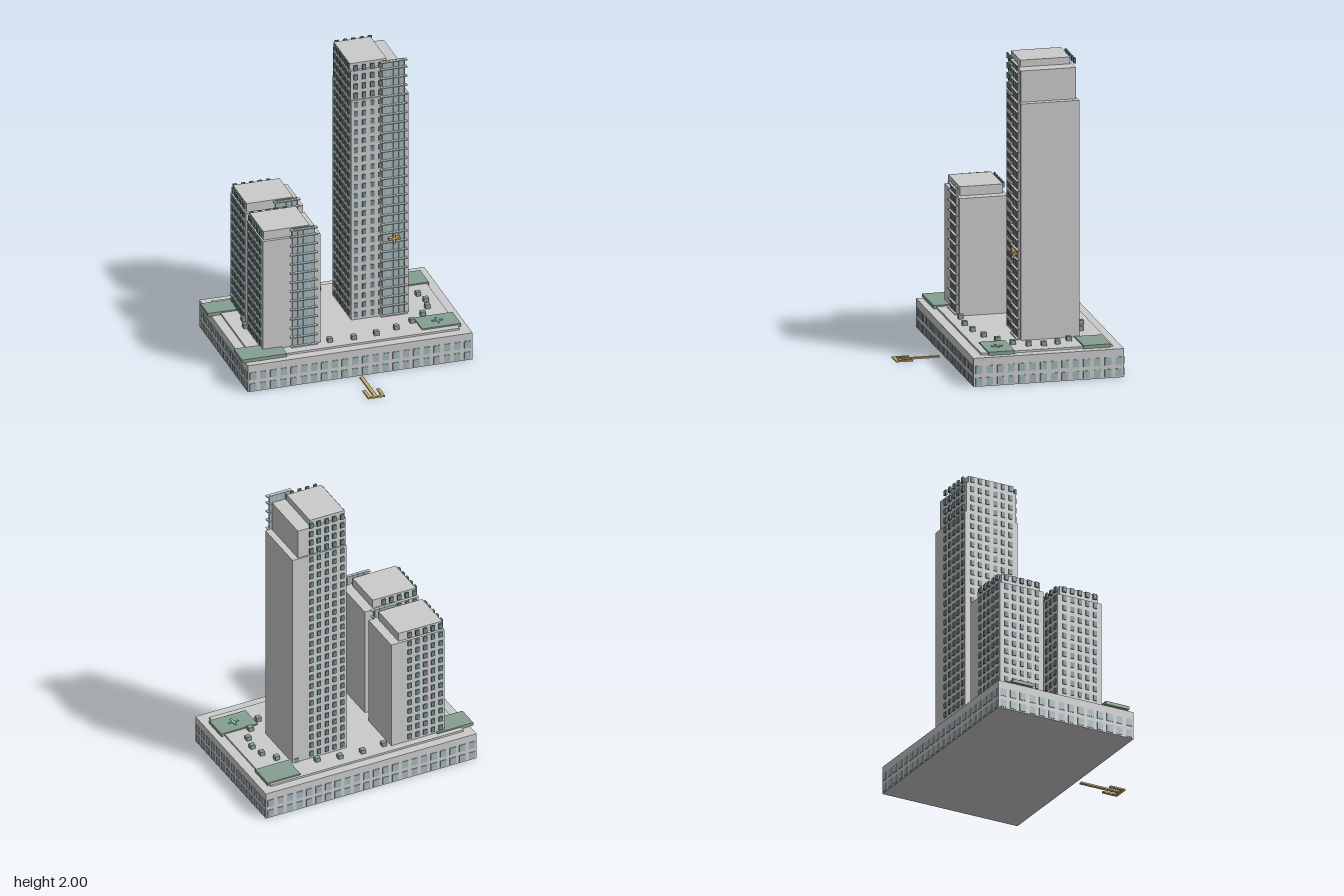
import * as THREE from 'three';
import { mergeGeometries } from 'three/addons/utils/BufferGeometryUtils.js';

const mat = (color) => new THREE.MeshStandardMaterial({ color });
const GREY = mat(0xcccccc);
const DARK_GLASS = mat(0x6a8a8c);
const PALE_GLASS = mat(0xa0b6ba);
const GREEN = mat(0x86a090);
const TEAL = mat(0x8cc8c0);
const GOLD = mat(0xc4a768);

// Box geometry given by its limits on each axis
function span(x0, x1, y0, y1, z0, z1) {
  return new THREE.BoxGeometry(x1 - x0, y1 - y0, z1 - z0)
    .translate((x0 + x1) / 2, (y0 + y1) / 2, (z0 + z1) / 2);
}
function block(cx, cy, cz, w, h, d) {
  return new THREE.BoxGeometry(w, h, d).translate(cx, cy, cz);
}
function add(parent, name, material, ...geos) {
  const mesh = new THREE.Mesh(geos.length > 1 ? mergeGeometries(geos) : geos[0], material);
  mesh.name = name;
  parent.add(mesh);
  return mesh;
}

const FLOOR = 0.0645; // storey height
const DECK = 0.2;     // level of the podium roof
const PITCH = 0.055;  // spacing of tower windows

// t: main block x0,x1,z0,z1; tiers; storeys; bay x range; front window columns
function tower(name, t) {
  const g = new THREE.Group();
  g.name = name;
  t.tiers.forEach(([x0, x1, z0, z1, y0, y1], i) =>
    add(g, i ? 'setbackTier' + i : 'mainShaft', GREY, span(x0, x1, y0, y1, z0, z1)));

  const [x0, , z0, z1] = t.tiers[0];
  const panes = [], glass = [], slabs = [], mullions = [];
  const [b0, b1] = t.bay;
  const bayPanes = 4, pw = (b1 - b0) / bayPanes;
  const top = t.tiers[t.tiers.length - 1][5];
  const sideColumns = Math.floor((z1 - z0 - 0.02) / PITCH);
  const sideStart = (z0 + z1) / 2 - ((sideColumns - 1) * PITCH) / 2;

  for (let f = 0; f < t.storeys; f++) {
    const y = DECK + 0.035 + f * FLOOR;
    // windows on the front, back and -x walls
    for (let c = 0; c < t.frontColumns; c++)
      panes.push(block(x0 + 0.03 + c * PITCH, y, z1 - 0.001, 0.024, 0.036, 0.012));
    for (let c = 0; c < 5; c++)
      panes.push(block(x0 + 0.03 + c * PITCH, y, z0 - 0.001, 0.026, 0.036, 0.012));
    for (let c = 0; c < sideColumns; c++)
      panes.push(block(x0, y, sideStart + c * PITCH, 0.012, 0.036, 0.026));
    // glazed bay, one balcony slab per storey
    for (let c = 0; c < bayPanes; c++)
      glass.push(block(b0 + (c + 0.5) * pw, y, z1 + 0.004, pw - 0.006, 0.05, 0.012));
    slabs.push(block((b0 + b1) / 2, y - 0.03, z1 + 0.012, b1 - b0 + 0.03, 0.007, 0.026));
  }
  slabs.push(span(b0 - 0.015, b1 + 0.015, top - 0.007, top, z1 - 0.001, z1 + 0.025));
  for (let c = 0; c <= bayPanes; c++)
    mullions.push(block(b0 + c * pw, (DECK + top) / 2, z1 + 0.006, 0.004, top - DECK, 0.014));

  add(g, 'windows', DARK_GLASS, ...panes);
  add(g, 'bayGlass', PALE_GLASS, ...glass);
  add(g, 'balconySlabs', GREY, ...slabs);
  add(g, 'bayMullions', GREY, ...mullions);
  return g;
}

function podium() {
  const g = new THREE.Group();
  g.name = 'podium';
  const X0 = -0.742, X1 = 0.755, Z0 = -0.657, Z1 = 0.325;
  add(g, 'podiumBlock', GREY, span(X0, X1, 0, 0.187, Z0, Z1));
  add(g, 'roofDeck', GREY, span(-0.68, 0.69, 0.18, DECK, -0.597, 0.26));

  // two rows of shop windows round all four walls
  const panes = [];
  const nx = 22, nz = 14;
  for (const y of [0.033, 0.11]) {
    for (let i = 0; i < nx; i++) {
      const x = X0 + ((i + 0.5) * (X1 - X0)) / nx;
      for (const z of [Z0, Z1]) panes.push(block(x, y, z, 0.043, 0.05, 0.008));
    }
    for (let i = 0; i < nz; i++) {
      const z = Z0 + ((i + 0.5) * (Z1 - Z0)) / nz;
      for (const x of [X0, X1]) panes.push(block(x, y, z, 0.008, 0.05, 0.043));
    }
  }
  add(g, 'podiumWindows', PALE_GLASS, ...panes);
  return g;
}

function roofGarden() {
  const g = new THREE.Group();
  g.name = 'roofGarden';
  // corner lawns
  add(g, 'lawns', GREEN,
    span(-0.765, -0.51, 0.187, 0.209, -0.565, -0.415),
    span(-0.765, -0.465, 0.187, 0.209, 0.11, 0.28),
    span(0.47, 0.703, 0.187, 0.209, -0.58, -0.405),
    span(0.455, 0.713, 0.187, 0.209, 0.045, 0.215));
  add(g, 'lawnCross', TEAL,
    block(0.585, 0.211, 0.13, 0.072, 0.008, 0.013),
    block(0.585, 0.211, 0.13, 0.013, 0.008, 0.072));

  // planters set out on an ellipse
  const planters = [];
  for (let i = 0; i < 24; i++) {
    const a = (i * Math.PI) / 12;
    planters.push(block(0.005 + 0.6 * Math.cos(a), 0.214, -0.17 + 0.365 * Math.sin(a), 0.033, 0.03, 0.033));
  }
  add(g, 'planters', GREEN, ...planters);
  return g;
}

export function createModel() {
  const model = new THREE.Group();
  model.name = 'towerComplex';
  model.add(podium(), roofGarden());

  const tall = tower('tallTower', {
    tiers: [
      [0.073, 0.455, -0.44, -0.06, 0.19, 1.75],
      [0.073, 0.412, -0.43, -0.07, 1.75, 1.955],
      [0.073, 0.318, -0.415, -0.09, 1.955, 2.0],
    ],
    storeys: 28, bay: [0.28, 0.425], frontColumns: 4,
  });
  // gold cross on the bay of the tall tower
  add(tall, 'facadeCross', GOLD,
    block(0.35, 0.75, -0.035, 0.075, 0.014, 0.025),
    block(0.35, 0.75, -0.035, 0.014, 0.075, 0.025));
  model.add(tall);

  model.add(tower('rearLowTower', {
    tiers: [
      [-0.57, -0.19, -0.55, -0.235, 0.19, 0.97],
      [-0.56, -0.25, -0.533, -0.255, 0.97, 1.03],
    ],
    storeys: 13, bay: [-0.375, -0.23], frontColumns: 0,
  }));
  model.add(tower('frontLowTower', {
    tiers: [
      [-0.593, -0.21, -0.143, 0.175, 0.19, 0.97],
      [-0.582, -0.275, -0.125, 0.155, 0.97, 1.03],
    ],
    storeys: 13, bay: [-0.398, -0.25], frontColumns: 0,
  }));

  // flat forked path marker on the ground in front
  add(model, 'pathMarker', GOLD,
    span(-0.008, 0.016, 0, 0.01, 0.36, 0.64),
    span(-0.05, 0.063, 0, 0.01, 0.637, 0.657),
    span(-0.05, -0.03, 0, 0.01, 0.548, 0.637),
    span(0.043, 0.063, 0, 0.01, 0.548, 0.637));
  return model;
}
